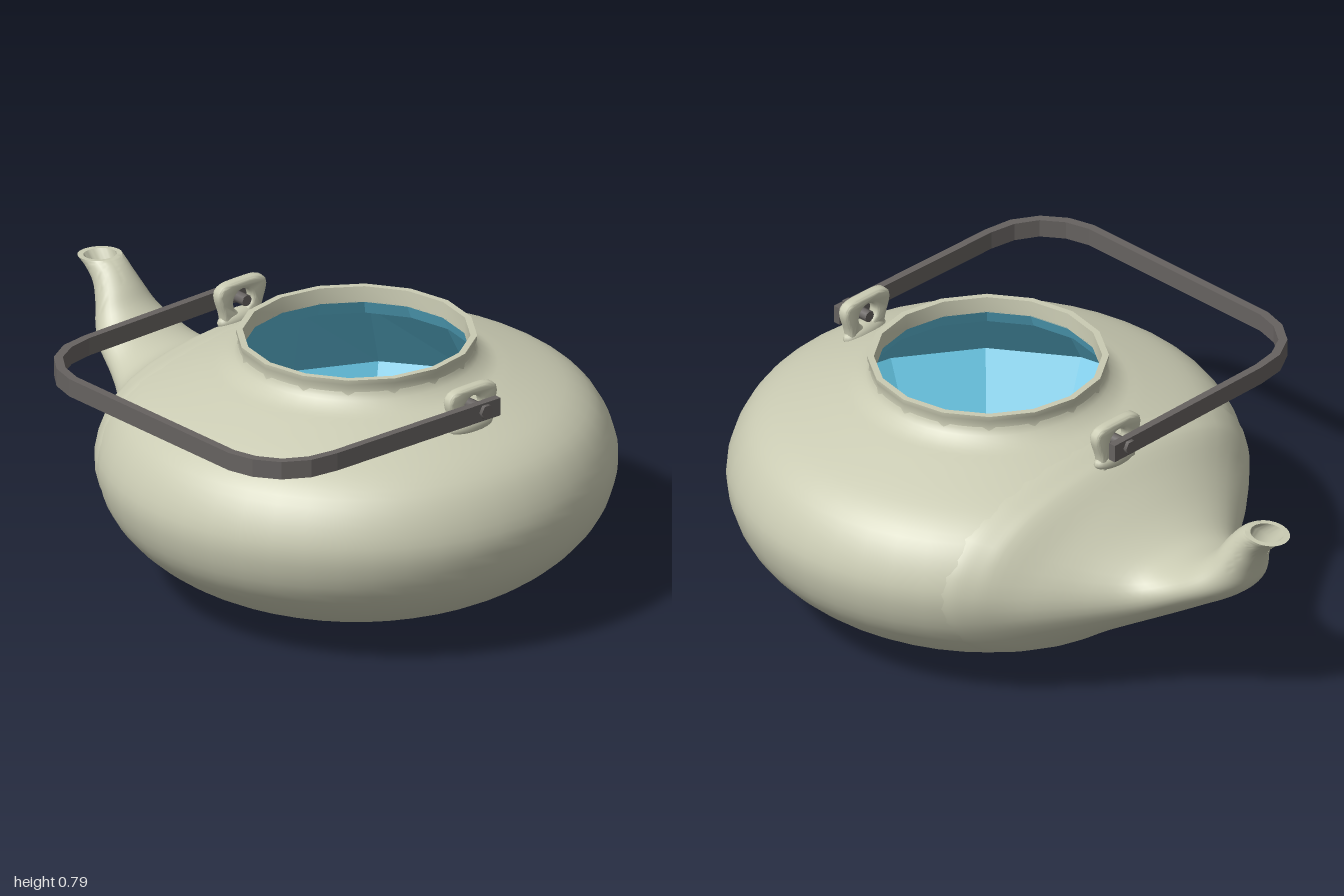
import * as THREE from 'three';
import { toCreasedNormals } from 'three/addons/utils/BufferGeometryUtils.js';

const CX = 0.228, CZ = -0.015; // axis of the round pot
const HX = 0.221; // middle of the handle

const mat = (name, color) => Object.assign(new THREE.MeshStandardMaterial({ color }), { name });
const v2 = (list) => list.map(([x, y]) => new THREE.Vector2(x, y));

// Radius and height of the pot wall, bottom to top
const bodyProfile = new THREE.SplineCurve(v2([
  [0, 0], [0.2, 0.008], [0.33, 0.023], [0.45, 0.053], [0.58, 0.112], [0.68, 0.188], [0.745, 0.275],
  [0.775, 0.38], [0.762, 0.465], [0.72, 0.545], [0.66, 0.598], [0.58, 0.637], [0.46, 0.68],
  [0.4, 0.7], [0.362, 0.728], [0.35, 0.75],
])).getPoints(44);

function radiusAt(y) {
  for (let i = 1; i < bodyProfile.length; i++) {
    const a = bodyProfile[i - 1], b = bodyProfile[i];
    if (y >= a.y && y < b.y) return a.x + ((b.x - a.x) * (y - a.y)) / (b.y - a.y);
  }
  return 0;
}

// Point of the pot wall in the upright plane at distance d from the axis
function wallPoint(d, t, scale) {
  let lo = 0, hi = 1.6;
  for (let i = 0; i < 24; i++) {
    const s = (lo + hi) / 2;
    const inside = Math.hypot(d, s * 0.62 * Math.sin(t)) < radiusAt(0.365 + s * 0.32 * Math.cos(t));
    if (inside) lo = s; else hi = s;
  }
  const s = lo * scale;
  return new THREE.Vector3(CX - d, 0.365 + s * 0.32 * Math.cos(t), CZ + s * 0.62 * Math.sin(t));
}

// Point of a tilted ellipse given as [bottomX, bottomY, topX, topY, halfWidth]
function ellipsePoint([bx, by, tx, ty, w], t) {
  const c = Math.cos(t);
  return new THREE.Vector3((bx + tx + c * (tx - bx)) / 2, (by + ty + c * (ty - by)) / 2, CZ + w * Math.sin(t));
}

// Skin that leaves the pot wall and narrows through the ellipses to the mouth
function spoutGeometry(wall, sections, mouth, steps, sides) {
  const pos = [], index = [], rows = steps + 1 + mouth.length;
  for (let j = 0; j < sides; j++) {
    const t = (j / sides) * Math.PI * 2;
    const curve = new THREE.CatmullRomCurve3([
      ...wall.map(([d, scale]) => wallPoint(d, t, scale)),
      ...sections.map((s) => ellipsePoint(s, t)),
    ]);
    const line = [...curve.getPoints(steps), ...mouth.map((s) => ellipsePoint(s, t))];
    line.forEach((p) => pos.push(p.x, p.y, p.z));
    for (let i = 0; i < rows - 1; i++) {
      const a = j * rows + i, b = ((j + 1) % sides) * rows + i;
      index.push(a, a + 1, b, a + 1, b + 1, b);
    }
  }
  const g = new THREE.BufferGeometry();
  g.setAttribute('position', new THREE.Float32BufferAttribute(pos, 3));
  g.setIndex(index);
  g.computeVertexNormals();
  return toCreasedNormals(g, 0.8);
}

// Draw the spout side of a pot wall back, so that it stays under the spout skin
function tuckUnderSpout(geometry) {
  const p = geometry.attributes.position;
  for (let i = 0; i < p.count; i++) {
    const x = p.getX(i);
    if (x < -0.45) p.setX(i, -0.45 + (x + 0.45) * 0.7);
  }
  return geometry;
}

export function createModel() {
  const group = new THREE.Group();
  group.name = 'kettle';
  const clay = mat('clay', 0xcacbb3);
  const blue = mat('blueGlaze', 0x5fbddb);
  const iron = mat('darkMetal', 0x666260);

  const add = (name, geometry, material, x = 0, y = 0, z = 0, parent = group) => {
    const m = new THREE.Mesh(geometry, material);
    m.name = name;
    m.position.set(x, y, z);
    parent.add(m);
  };

  // Squat round body
  add('body', tuckUnderSpout(new THREE.LatheGeometry(bodyProfile, 48)), clay, CX, 0, CZ);

  // Neck with a flat rim
  add('neck', toCreasedNormals(new THREE.LatheGeometry(v2([
    [0.368, 0.705], [0.355, 0.735], [0.351, 0.76], [0.357, 0.775], [0.358, 0.79], [0.338, 0.79], [0.336, 0.74],
  ]), 16), 0.7), clay, CX, 0, CZ);

  // Faceted glazed hollow, facing inward
  const hollow = tuckUnderSpout(new THREE.LatheGeometry(v2([
    [0.336, 0.742], [0.36, 0.695], [0.56, 0.62], [0.735, 0.38], [0.56, 0.13], [0.36, 0.06], [0, 0.075],
  ]), 16)).toNonIndexed();
  hollow.computeVertexNormals();
  add('interior', hollow, blue, CX, 0, CZ);

  // Spout flowing out of the body, with an open mouth
  add('spout', spoutGeometry([
    [0.42, 0.99], [0.46, 1.003], [0.5, 1.003], [0.54, 1.0],
  ], [
    [-0.40, 0.152, -0.40, 0.585, 0.455],
    [-0.50, 0.212, -0.50, 0.515, 0.325],
    [-0.60, 0.27, -0.58, 0.482, 0.225],
    [-0.72, 0.345, -0.64, 0.485, 0.17],
    [-0.82, 0.41, -0.71, 0.515, 0.138],
    [-0.87, 0.46, -0.755, 0.553, 0.108],
    [-0.895, 0.53, -0.79, 0.6, 0.082],
    [-0.92, 0.585, -0.82, 0.635, 0.067],
    [-0.96, 0.625, -0.842, 0.655, 0.063],
    [-1.0, 0.652, -0.86, 0.666, 0.064],
  ], [
    [-0.98, 0.654, -0.877, 0.664, 0.048],
    [-0.93, 0.595, -0.84, 0.635, 0.042],
    [-0.88, 0.52, -0.81, 0.57, 0.04],
    [-0.84, 0.52, -0.84, 0.52, 0],
  ], 52, 40), clay);

  // Pierced lugs with pins, one on each side
  const lugShape = new THREE.Shape();
  lugShape.moveTo(-0.06, -0.075);
  lugShape.lineTo(0.06, -0.075);
  lugShape.bezierCurveTo(0.06, -0.02, 0.081, 0.0, 0.084, 0.03);
  lugShape.bezierCurveTo(0.084, 0.058, 0.05, 0.056, 0, 0.056);
  lugShape.bezierCurveTo(-0.05, 0.056, -0.084, 0.058, -0.084, 0.03);
  lugShape.bezierCurveTo(-0.081, 0.0, -0.06, -0.02, -0.06, -0.075);
  lugShape.holes.push(new THREE.Path().absellipse(0, 0.0, 0.048, 0.046, 0, Math.PI * 2, true));
  const lugGeo = toCreasedNormals(new THREE.ExtrudeGeometry(lugShape, {
    depth: 0.014, bevelThickness: 0.012, bevelSize: 0.01, bevelSegments: 3, curveSegments: 6,
  }).translate(0, 0, -0.007).rotateY(Math.PI / 2), 0.8);
  const baseGeo = new THREE.SphereGeometry(1, 20, 10).scale(0.032, 0.032, 0.085);
  const pinGeo = new THREE.CylinderGeometry(0.018, 0.018, 0.095, 8).rotateZ(Math.PI / 2);
  const headGeo = new THREE.CylinderGeometry(0.023, 0.023, 0.014, 6).rotateZ(Math.PI / 2);

  for (const side of [-1, 1]) {
    const lug = new THREE.Group();
    lug.name = side < 0 ? 'rightLug' : 'leftLug';
    lug.position.set(HX + side * 0.52, 0.724, CZ);
    group.add(lug);
    add('eyelet', lugGeo, clay, 0, 0, 0, lug);
    add('lugBase', baseGeo, clay, 0, -0.06, 0, lug);
    add('pin', pinGeo, iron, side * 0.02, 0, -0.005, lug);
    add('pinHead', headGeo, iron, side * 0.066, 0, -0.005, lug);
  }

  // Flat strap handle, folded down toward the front
  const outer = [[0.582, -0.08], [0.572, 0.55], [0.559, 0.642], [0.513, 0.72], [0.442, 0.771], [0.36, 0.793]];
  const inner = [[0.558, -0.08], [0.547, 0.55], [0.533, 0.632], [0.495, 0.7], [0.43, 0.746], [0.355, 0.766]];
  const mirrored = (list) => list.map(([x, z]) => [-x, z]);
  const strap = new THREE.Shape(v2([
    ...outer, ...mirrored(outer).reverse(), ...mirrored(inner), ...[...inner].reverse(),
  ]));
  const strapGeo = new THREE.ExtrudeGeometry(strap, { depth: 0.056, bevelEnabled: false }).rotateX(Math.PI / 2);
  add('handle', strapGeo, iron, HX, 0.75, 0);

  return group;
}
